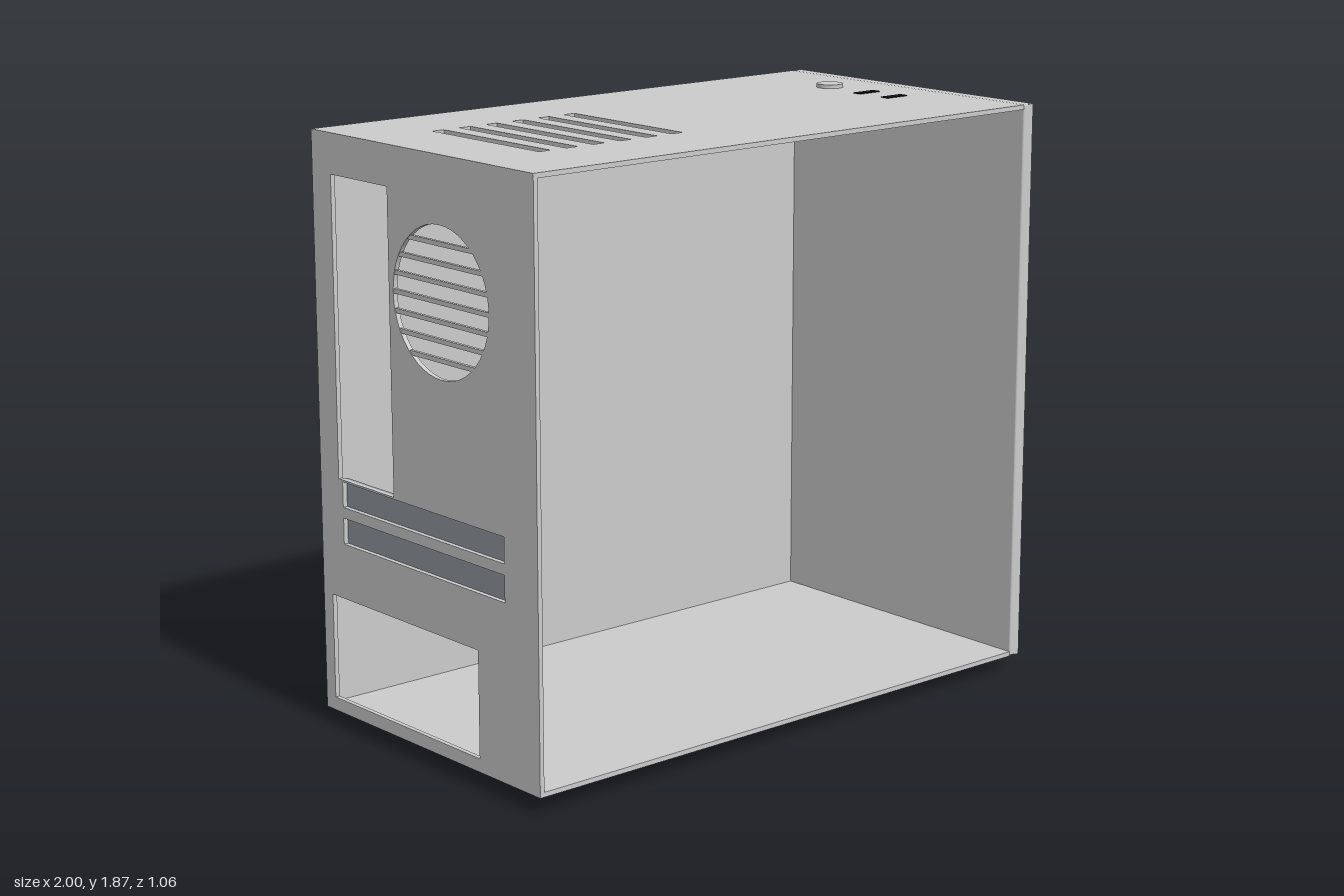
import * as THREE from 'three';
import { RoundedBoxGeometry } from 'three/addons/geometries/RoundedBoxGeometry.js';

const grey = new THREE.MeshStandardMaterial({ color: 0xcccccc });
const slate = new THREE.MeshStandardMaterial({ color: 0x92979e });
const black = new THREE.MeshStandardMaterial({ color: 0x111111 });

// Outer size of the case and sheet thickness
const BOTTOM = 0.05, TOP = 1.86, Z = 0.53, T = 0.015, BEZEL_X = 0.96;

export function createModel() {
  const model = new THREE.Group();
  model.name = 'computerCase';

  const add = (name, geometry, material = grey, x = 0, y = 0, z = 0) => {
    const mesh = new THREE.Mesh(geometry, material);
    mesh.name = name;
    mesh.position.set(x, y, z);
    model.add(mesh);
    return mesh;
  };

  // Box given by its limits
  const block = (name, x0, x1, y0, y1, z0, z1, material) =>
    add(name, new THREE.BoxGeometry(x1 - x0, y1 - y0, z1 - z0), material,
      (x0 + x1) / 2, (y0 + y1) / 2, (z0 + z1) / 2);

  // Rectangle outline, used for panels and their cut-outs
  const rect = (PathType, u0, u1, v0, v1) => new PathType([
    new THREE.Vector2(u0, v0), new THREE.Vector2(u1, v0),
    new THREE.Vector2(u1, v1), new THREE.Vector2(u0, v1),
  ]);
  const sheet = (shape, depth) =>
    new THREE.ExtrudeGeometry(shape, { depth, bevelEnabled: false, curveSegments: 24 });

  // Floor and far side panel; the near side is open
  block('floorPanel', -1, BEZEL_X - 0.002, BOTTOM, BOTTOM + T, -Z, Z);
  block('sidePanel', -1, BEZEL_X - 0.002, BOTTOM + T, TOP - T, -Z, -Z + T);

  // Top panel with six vent slots
  const top = rect(THREE.Shape, -1, BEZEL_X - 0.002, -Z, Z);
  for (let i = 0; i < 6; i++) {
    const x = -0.735 + i * 0.1;
    top.holes.push(rect(THREE.Path, x - 0.021, x + 0.021, -0.255, 0.25));
  }
  add('topPanel', sheet(top, T).rotateX(Math.PI / 2), grey, 0, TOP, 0);

  // Rear panel, drawn in z and y, with its openings
  const fan = { z: 0.095, y: 1.43, r: 0.227 };
  const slots = [[0.6, 0.682], [0.716, 0.796]];
  const rear = rect(THREE.Shape, -Z + T, Z, BOTTOM + T, TOP - T);
  rear.holes.push(rect(THREE.Path, -0.435, -0.153, 0.802, 1.735));
  rear.holes.push(rect(THREE.Path, -0.483, 0.247, 0.092, 0.425));
  for (const [y0, y1] of slots) rear.holes.push(rect(THREE.Path, -0.415, 0.377, y0, y1));
  const fanHole = new THREE.Path();
  fanHole.absarc(fan.z, fan.y, fan.r, 0, Math.PI * 2);
  rear.holes.push(fanHole);
  add('rearPanel', sheet(rear, T).rotateY(-Math.PI / 2), grey, -1 + T, 0, 0);

  // Expansion slot covers just behind the rear panel
  for (const [y0, y1] of slots)
    block('slotCover', -1 + T, -1 + T + 0.01, y0 - 0.014, y1 + 0.006, -0.425, 0.385, slate);

  // Fan grille bars, cut to the chord of the round opening
  for (let i = -3; i <= 3; i++) {
    const y = fan.y + i * 0.057;
    const half = Math.sqrt(fan.r ** 2 - (i * 0.057) ** 2) + 0.004;
    block('fanGrilleBar', -0.998, -0.987, y - 0.007, y + 0.007, fan.z - half, fan.z + half);
  }

  // Front bezel: inner plate and a cover with a long narrow groove
  const midY = (BOTTOM + TOP) / 2;
  add('bezelPlate', new RoundedBoxGeometry(0.03, TOP - BOTTOM, Z * 2, 2, 0.006),
    grey, BEZEL_X + 0.015, midY, 0);
  const face = rect(THREE.Shape, -Z, Z, BOTTOM, TOP);
  face.holes.push(rect(THREE.Path, 0.375, 0.395, 0.23, 1.675));
  add('bezelFace', sheet(face, 0.02).rotateY(-Math.PI / 2), grey, 1, 0, 0);

  // Power button and two ports on the top
  add('powerButton', new THREE.CylinderGeometry(0.043, 0.043, 0.02, 32), grey, 0.78, TOP + 0.002, -0.16);
  for (const z of [0.012, 0.136])
    block('port', 0.735, 0.822, TOP - 0.01, TOP + 0.003, z - 0.015, z + 0.015, black);

  // Four round feet
  for (const x of [-0.78, 0.78])
    for (const z of [-0.343, 0.343])
      add('foot', new THREE.CylinderGeometry(0.081, 0.081, BOTTOM, 32), black, x, BOTTOM / 2, z);

  return model;
}
